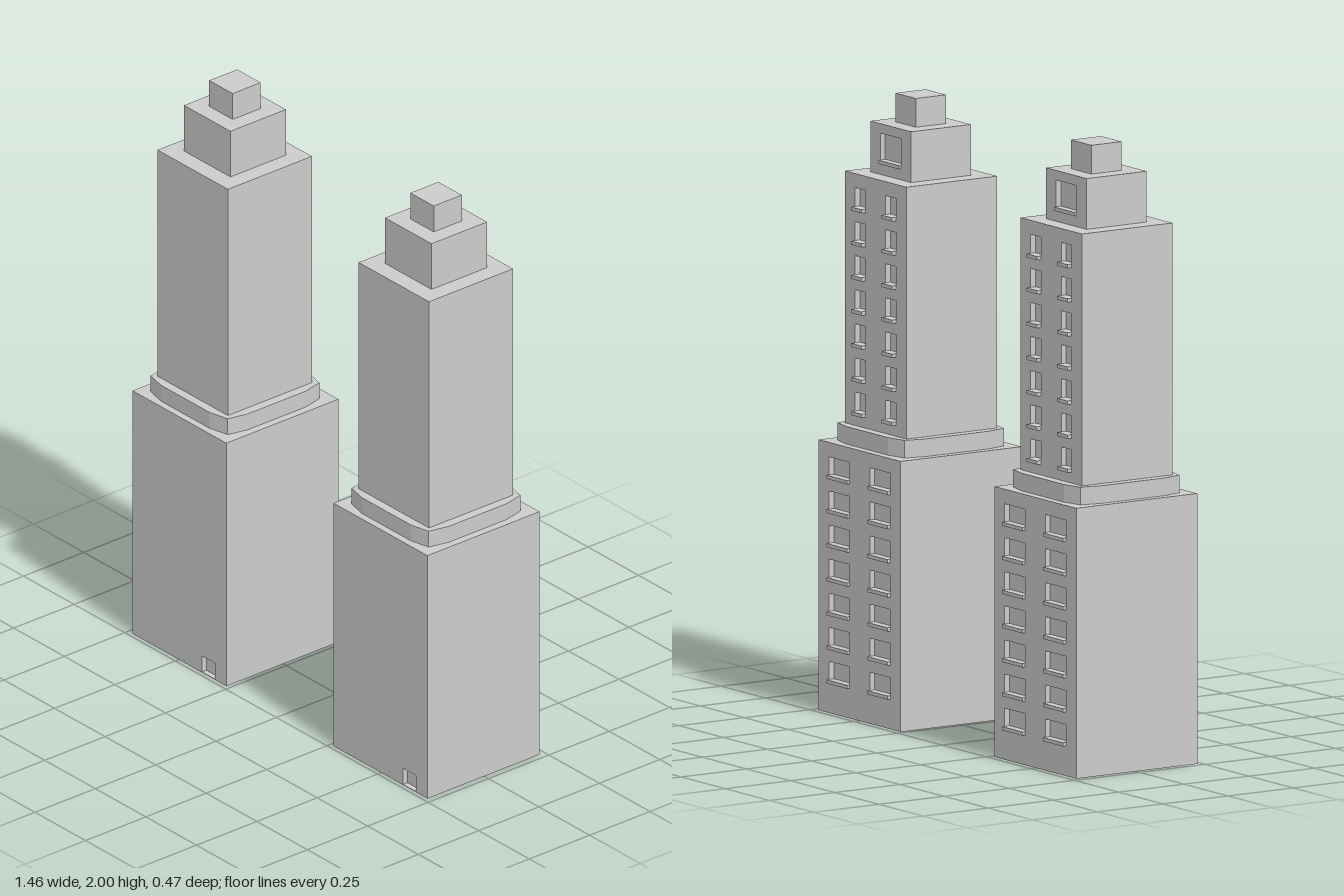
import * as THREE from 'three';

const material = new THREE.MeshStandardMaterial({ color: 0xcccccc, flatShading: true });
const RECESS = 0.018;

function addMesh(group, name, geometry, x = 0, y = 0, z = 0) {
  const mesh = new THREE.Mesh(geometry, material);
  mesh.name = name;
  mesh.position.set(x, y, z);
  group.add(mesh);
  return mesh;
}

// Box given by its extents
function addBox(group, name, [x0, x1], [y0, y1], [z0, z1]) {
  return addMesh(group, name, new THREE.BoxGeometry(x1 - x0, y1 - y0, z1 - z0),
    (x0 + x1) / 2, (y0 + y1) / 2, (z0 + z1) / 2);
}

function trace(path, x0, x1, y0, y1) {
  path.moveTo(x0, y0);
  path.lineTo(x1, y0);
  path.lineTo(x1, y1);
  path.lineTo(x0, y1);
  path.closePath();
  return path;
}

// Wall slab with rectangular openings, from z to z + RECESS
function addWall(group, name, half, y0, y1, z, openings) {
  const shape = trace(new THREE.Shape(), -half, half, y0, y1);
  for (const o of openings) shape.holes.push(trace(new THREE.Path(), ...o));
  addMesh(group, name, new THREE.ExtrudeGeometry(shape, { depth: RECESS, bevelEnabled: false }), 0, 0, z);
}

// One storey block: solid core, pierced back wall and window sills
function addBlock(group, name, half, y0, y1, zc, windows, sillOut, door) {
  const back = zc - half, front = zc + half;
  addBox(group, name + 'Core', [-half, half], [y0, y1], [back + RECESS, door ? front - RECESS : front]);
  addWall(group, name + 'BackWall', half, y0, y1, back, windows);
  if (door) addWall(group, name + 'FrontWall', half, y0, y1, front - RECESS, [door]);
  for (const [x0, x1, w0] of windows) {
    addBox(group, name + 'Sill', [x0, x1], [w0, w0 + 0.012], [back - sillOut, back + RECESS]);
  }
}

// Two columns of seven windows
function windowGrid(inner, outer, bottom, height) {
  const list = [];
  for (let i = 0; i < 7; i++) {
    const y = bottom + i * 0.11;
    list.push([-outer, -inner, y, y + height], [inner, outer, y, y + height]);
  }
  return list;
}

function createTower() {
  const tower = new THREE.Group();
  tower.name = 'tower';

  // Broad base with a small recessed door
  addBlock(tower, 'base', 0.232, 0, 0.873, 0.003, windowGrid(0.058, 0.173, 0.096, 0.07), 0.01,
    [0.112, 0.175, 0.002, 0.06]);

  // Twelve-sided collar with softened corners
  const r = 0.206, m = 0.19, s = 0.12;
  const collar = new THREE.Shape();
  const corner = [[r, s], [m, m], [s, r]];
  const points = [];
  for (let q = 0; q < 4; q++) {
    const a = q * Math.PI / 2;
    for (const [x, y] of corner) {
      points.push(new THREE.Vector2(x, y).rotateAround(new THREE.Vector2(), a));
    }
  }
  collar.setFromPoints(points);
  const collarGeometry = new THREE.ExtrudeGeometry(collar, { depth: 0.057, bevelEnabled: false });
  collarGeometry.rotateX(-Math.PI / 2);
  addMesh(tower, 'collar', collarGeometry, 0, 0.873, 0.005);

  // Tall shaft and stepped crown
  addBlock(tower, 'shaft', 0.174, 0.93, 1.743, 0.006, windowGrid(0.057, 0.116, 0.965, 0.073), 0.016);
  addBlock(tower, 'crown', 0.115, 1.743, 1.907, 0.005, [[-0.058, 0.058, 1.778, 1.876]], 0.008);
  addBox(tower, 'cap', [-0.058, 0.058], [1.907, 2], [-0.053, 0.063]);
  return tower;
}

export function createModel() {
  const model = new THREE.Group();
  model.name = 'twinTowers';
  for (const x of [-0.497, 0.497]) {
    const tower = createTower();
    tower.position.x = x;
    model.add(tower);
  }
  return model;
}
